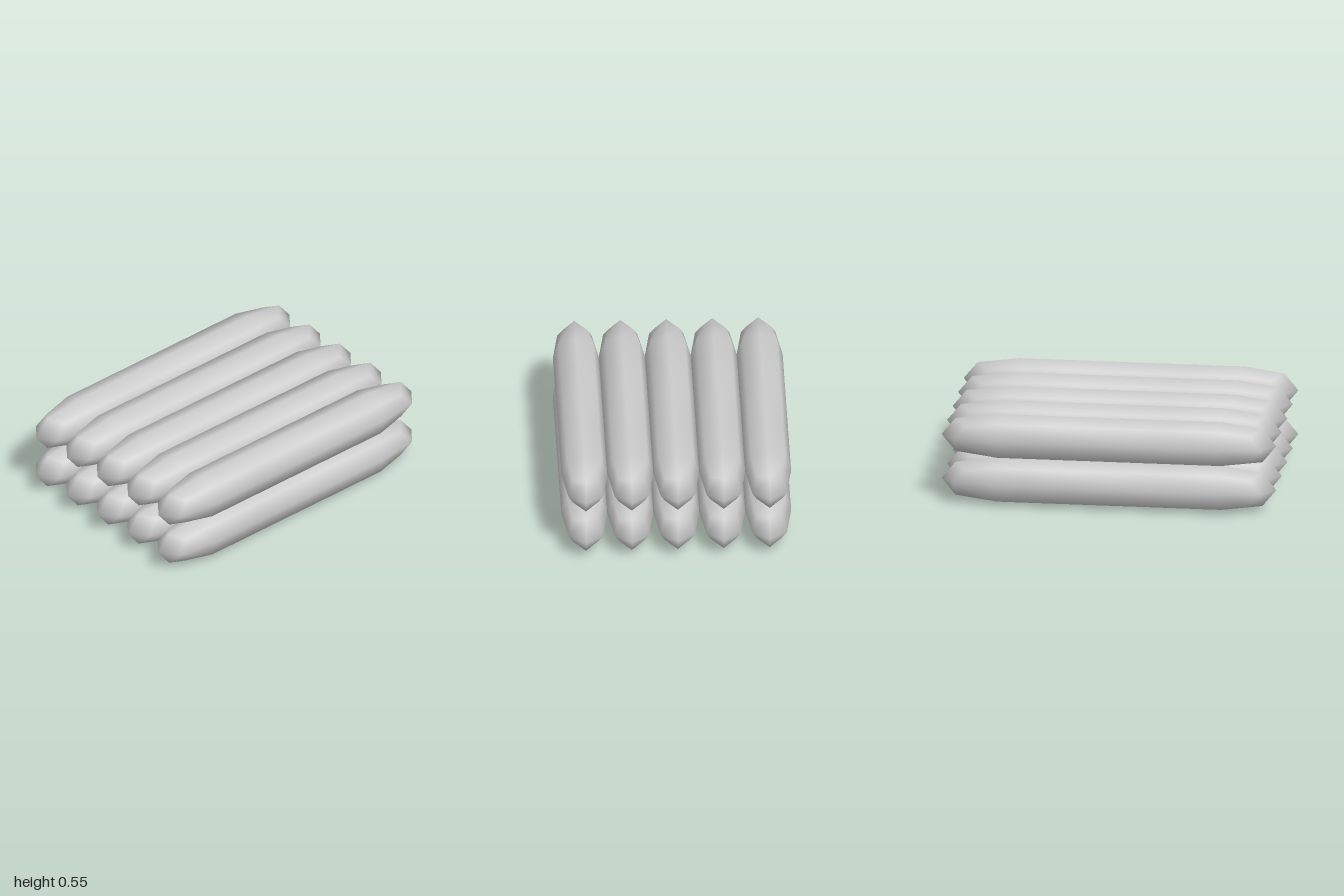
import * as THREE from 'three';

const R = 3 / 22; // half thickness of one rod

// Smooth eight-sided rod along z with tapered, pointed ends
function rodGeometry() {
  // each ring: [size, z] on the axes and [size, z] at the diagonal corners
  const half = [
    { axis: [0.75, 0.917], corner: [0.556, 0.852] },
    { axis: [1, 0.667], corner: [0.75, 0.667] },
    { axis: [1, 0.333], corner: [0.75, 0.333] },
  ];
  const back = half.slice().reverse().map(({ axis, corner }) => ({
    axis: [axis[0], -axis[1]],
    corner: [corner[0], -corner[1]],
  }));
  const rings = [...half, ...back];

  const positions = [];
  const index = [];
  rings.forEach(({ axis, corner }) => {
    for (let i = 0; i < 8; i++) {
      const [size, z] = i % 2 ? corner : axis;
      const r = R * size * (i % 2 ? Math.SQRT2 : 1);
      const a = (i * Math.PI) / 4;
      positions.push(r * Math.cos(a), r * Math.sin(a), z);
    }
  });
  const frontTip = rings.length * 8;
  const backTip = frontTip + 1;
  positions.push(0, 0, 1, 0, 0, -1);

  // sides
  for (let k = 0; k < rings.length - 1; k++) {
    for (let i = 0; i < 8; i++) {
      const a = k * 8 + i;
      const b = k * 8 + ((i + 1) % 8);
      index.push(a, a + 8, b, b, a + 8, b + 8);
    }
  }
  // pointed ends, four facets each
  const last = (rings.length - 1) * 8;
  for (let i = 0; i < 8; i += 2) {
    const j = i + 1;
    const k = (i + 2) % 8;
    index.push(frontTip, i, k, i, j, k);
    index.push(backTip, last + k, last + i, last + k, last + j, last + i);
  }

  const geometry = new THREE.BufferGeometry();
  geometry.setAttribute('position', new THREE.Float32BufferAttribute(positions, 3));
  geometry.setIndex(index);
  geometry.computeVertexNormals();
  return geometry;
}

export function createModel() {
  const model = new THREE.Group();
  model.name = 'rodStack';
  const material = new THREE.MeshStandardMaterial({ color: 0xcccccc });
  const geometry = rodGeometry();

  // two layers of five touching rods
  ['lowerLayer', 'upperLayer'].forEach((name, row) => {
    const layer = new THREE.Group();
    layer.name = name;
    layer.position.y = R + row * 2 * R;
    for (let col = -2; col <= 2; col++) {
      const rod = new THREE.Mesh(geometry, material);
      rod.name = 'rod';
      rod.position.x = col * 2 * R;
      layer.add(rod);
    }
    model.add(layer);
  });
  return model;
}
